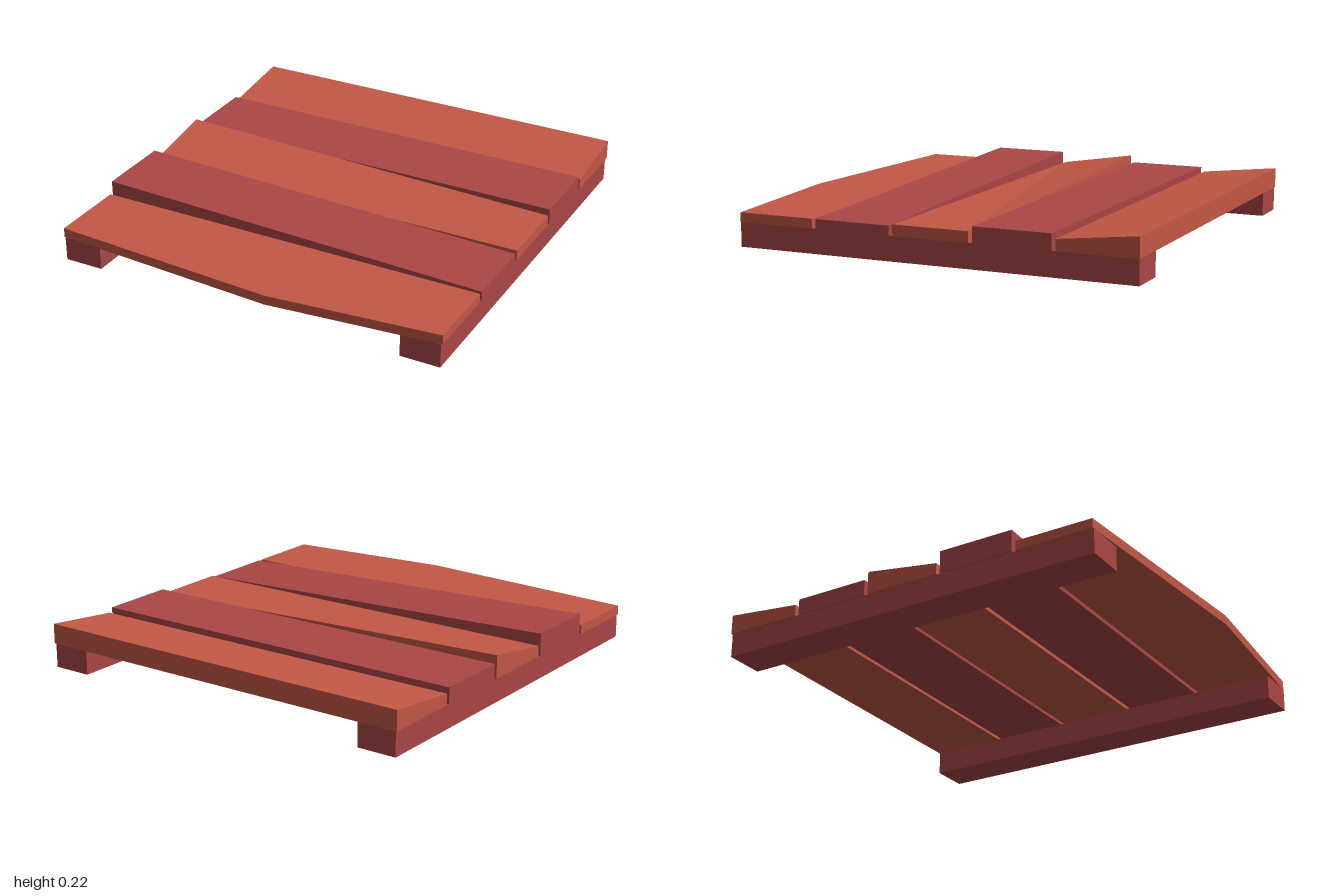
import * as THREE from 'three';

const DECK = 0.115; // height of the rail tops, where the planks rest
const HALF = 0.96;  // half the plank length

// Box-based plank whose four top corners have their own heights
function plankGeometry(zBack, zFront, [backRight, backLeft, frontRight, frontLeft]) {
  let geometry = new THREE.BoxGeometry(HALF * 2, 1, zFront - zBack);
  const p = geometry.attributes.position;
  for (let i = 0; i < p.count; i++) {
    const back = p.getZ(i) < 0;
    const right = p.getX(i) < 0;
    const top = back ? (right ? backRight : backLeft) : (right ? frontRight : frontLeft);
    p.setY(i, p.getY(i) > 0 ? top : DECK);
  }
  geometry = geometry.toNonIndexed();
  geometry.translate(0, 0, (zBack + zFront) / 2);
  geometry.computeVertexNormals();
  return geometry;
}

export function createModel() {
  const orange = new THREE.MeshStandardMaterial({ color: 0xc45846 });
  orange.name = 'orangeWood';
  const red = new THREE.MeshStandardMaterial({ color: 0xab4646 });
  red.name = 'redWood';

  const group = new THREE.Group();
  group.name = 'plankPlatform';
  const add = (name, geometry, material) => {
    const mesh = new THREE.Mesh(geometry, material);
    mesh.name = name;
    group.add(mesh);
    return mesh;
  };

  // Two rails running front to back
  for (const side of [-1, 1]) {
    const rail = add(side < 0 ? 'rightRail' : 'leftRail', new THREE.BoxGeometry(0.19, DECK, 1.92), red);
    rail.position.set(side * 0.858, DECK / 2, -0.037);
  }

  // Uneven planks: back edge, front edge, top heights (back -x, back +x, front -x, front +x)
  const planks = [
    ['backPlank', -1, -0.627, [0.21, 0.21, 0.168, 0.168], orange],
    ['rearMiddlePlank', -0.608, -0.242, [0.19, 0.19, 0.19, 0.19], red],
    ['middlePlank', -0.223, 0.143, [0.225, 0.167, 0.167, 0.167], orange],
    ['frontMiddlePlank', 0.162, 0.528, [0.22, 0.16, 0.22, 0.16], red],
  ];
  for (const [name, zBack, zFront, tops, material] of planks) {
    add(name, plankGeometry(zBack, zFront, tops), material);
  }

  // Front plank with a shallow off-centre point
  const outline = new THREE.Shape([
    [-HALF, 0.547], [HALF, 0.547], [HALF, 0.92], [0.145, 0.997], [-HALF, 0.92],
  ].map(([x, z]) => new THREE.Vector2(x, z)));
  const front = new THREE.ExtrudeGeometry(outline, { depth: 0.16 - DECK, bevelEnabled: false });
  front.rotateX(Math.PI / 2);
  front.translate(0, 0.16, 0);
  add('frontPlank', front, orange);

  return group;
}
